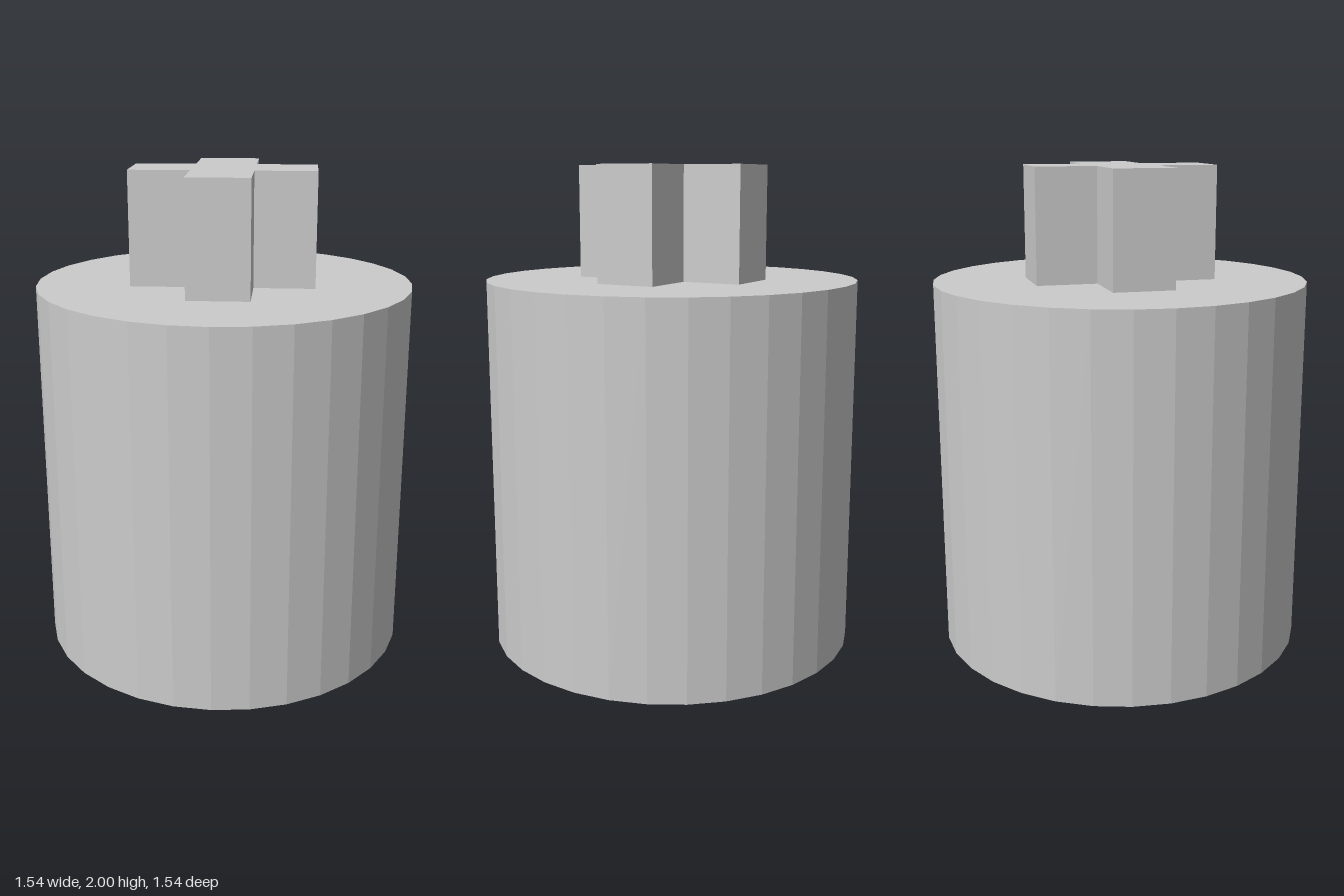
import * as THREE from 'three';

const RADIUS = 0.768, BODY_HEIGHT = 1.538, TOTAL_HEIGHT = 2;
const ARM_REACH = 0.373, ARM_HALF_WIDTH = 0.125;

// Plus-shaped outline: one corner triple turned through four quarters
function crossShape(reach, half) {
  const points = [];
  for (let i = 0; i < 4; i++) {
    for (const [x, y] of [[reach, -half], [reach, half], [half, half]]) {
      points.push(new THREE.Vector2(x, y).rotateAround(new THREE.Vector2(), i * Math.PI / 2));
    }
  }
  return new THREE.Shape(points);
}

export function createModel() {
  const group = new THREE.Group();
  const material = new THREE.MeshStandardMaterial({ color: 0xcccccc, flatShading: true });

  // Faceted cylindrical body
  const body = new THREE.Mesh(new THREE.CylinderGeometry(RADIUS, RADIUS, BODY_HEIGHT, 32), material);
  body.name = 'body';
  body.position.y = BODY_HEIGHT / 2;

  // Cross-shaped stem standing on the body
  const stemGeometry = new THREE.ExtrudeGeometry(crossShape(ARM_REACH, ARM_HALF_WIDTH), {
    depth: TOTAL_HEIGHT - BODY_HEIGHT,
    bevelEnabled: false,
  });
  stemGeometry.rotateX(-Math.PI / 2);
  const stem = new THREE.Mesh(stemGeometry, material);
  stem.name = 'crossStem';
  stem.position.y = BODY_HEIGHT;

  group.add(body, stem);
  return group;
}
